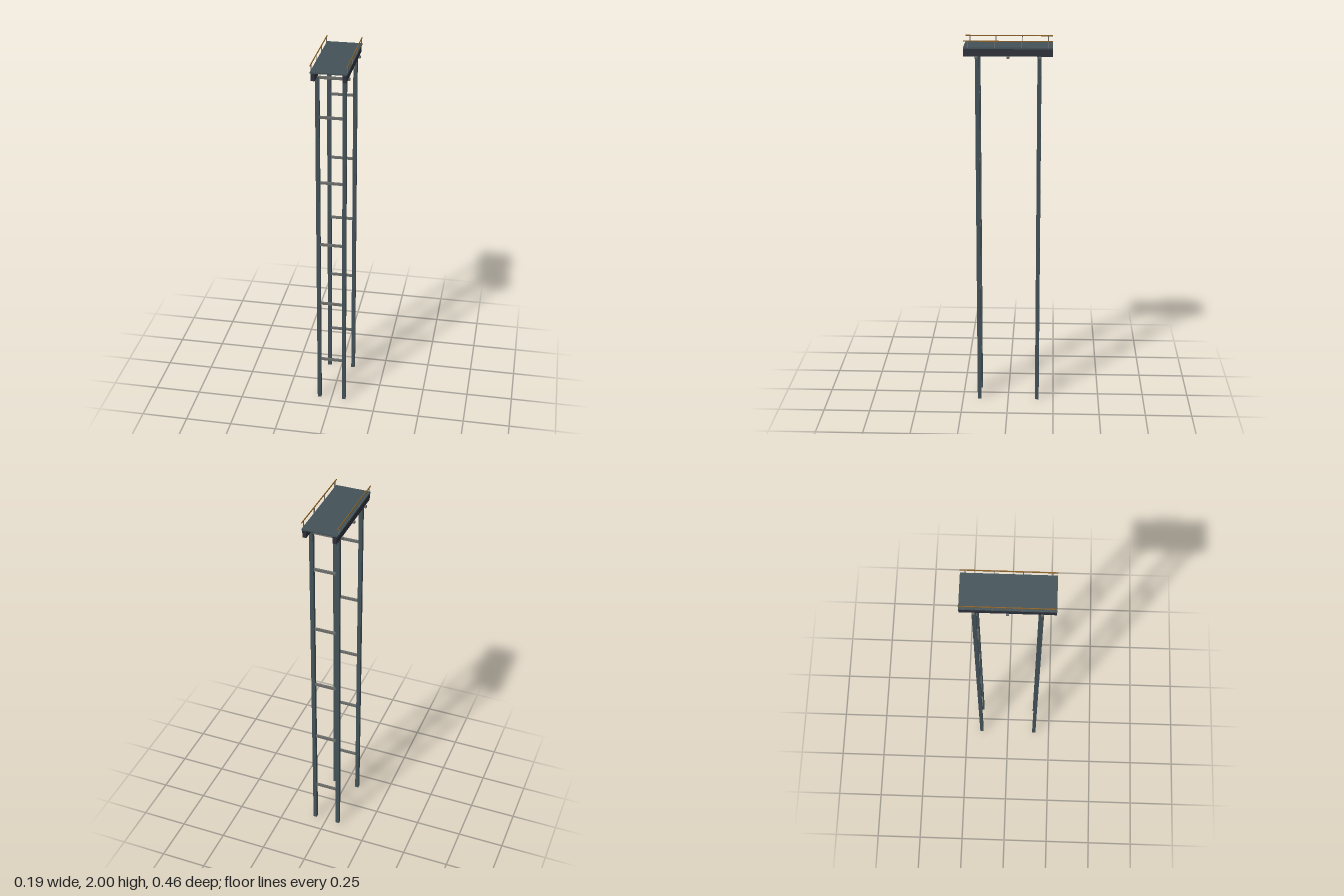
import * as THREE from 'three';

const mat = (name, color) => {
  const m = new THREE.MeshStandardMaterial({ color });
  m.name = name;
  return m;
};

export function createModel() {
  const steel = mat('slate steel', 0x435258);
  const girderSteel = mat('dark girder steel', 0x2c303a);
  const brace = mat('grey brace', 0x6a6c6a);
  const railPaint = mat('amber rail', 0x8a6022);

  const model = new THREE.Group();
  model.name = 'platformTower';
  const box = (name, material, w, h, d, x, y, z) => {
    const mesh = new THREE.Mesh(new THREE.BoxGeometry(w, h, d), material);
    mesh.name = name;
    mesh.position.set(x, y, z);
    model.add(mesh);
  };

  // Deck plate
  box('deck', steel, 0.184, 0.008, 0.455, 0, 1.962, 0);

  for (const side of [-1, 1]) {
    // Legs
    for (const z of [-0.159, 0.159]) box('leg', steel, 0.02, 1.92, 0.02, side * 0.069, 0.96, z);

    // Long edge girder under the deck
    box('girder', girderSteel, 0.02, 0.04, 0.455, side * 0.078, 1.94, 0);

    // Guard rail and its posts
    box('rail', railPaint, 0.004, 0.005, 0.455, side * 0.091, 1.9975, 0);
    for (const z of [-0.204, -0.068, 0.068, 0.204]) {
      box('railPost', brace, 0.004, 0.036, 0.004, side * 0.091, 1.98, z);
    }
  }

  // Horizontal braces between each pair of legs
  for (const z of [-0.159, 0.159]) {
    for (let i = 0; i < 5; i++) box('legBrace', brace, 0.138, 0.012, 0.012, 0, 0.254 + i * 0.3625, z);
  }

  // Cross beams beneath the girders
  for (const z of [-0.16, 0, 0.16]) box('crossBeam', brace, 0.19, 0.012, 0.013, 0, 1.916, z);

  return model;
}
